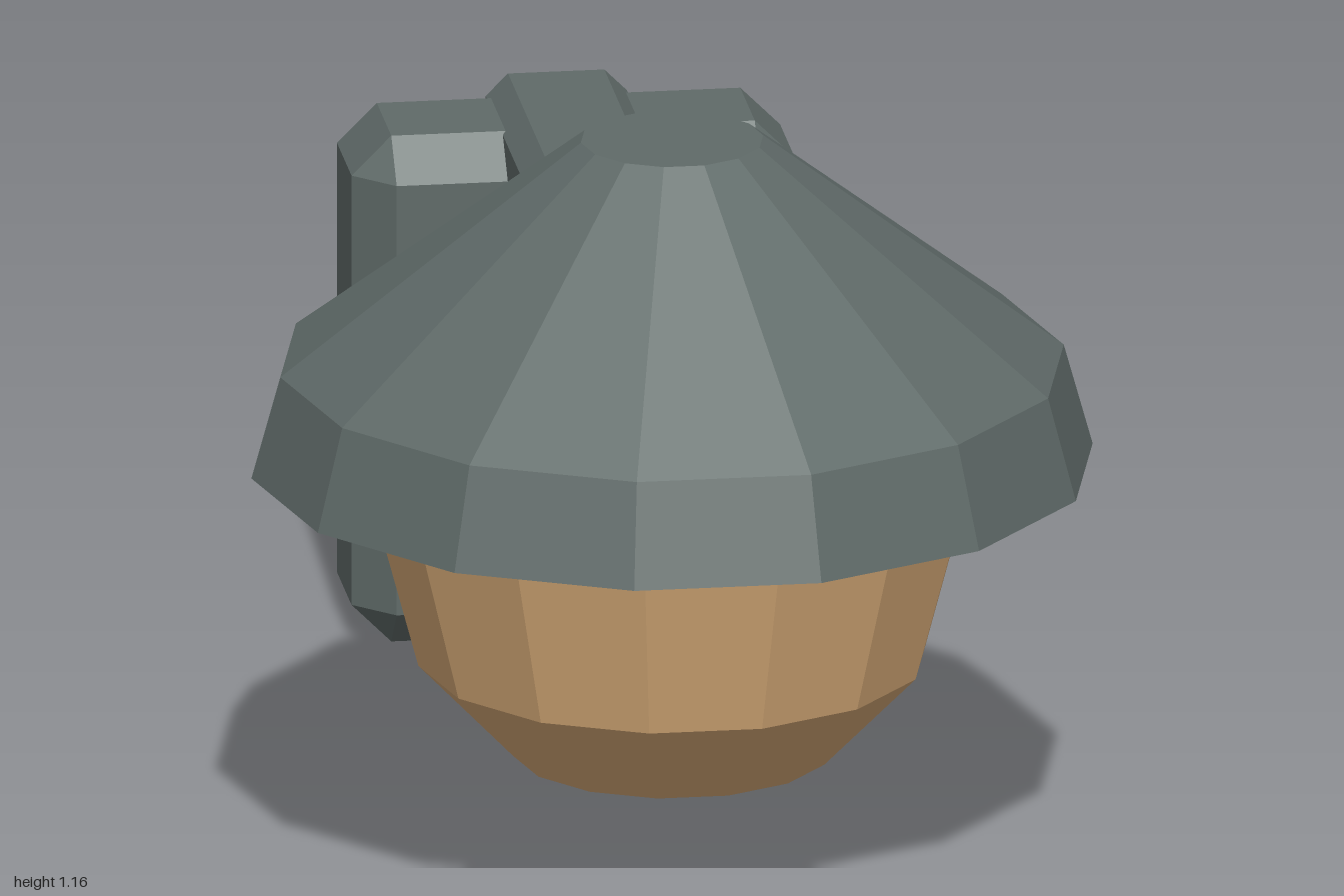
import * as THREE from 'three';
import { ConvexGeometry } from 'three/addons/geometries/ConvexGeometry.js';

const SIDES = 14;
const LAMP_Z = 0.36;

// Faceted turned solid from [radius, y] pairs, bottom to top, with a corner on the x axis
function turned(profile) {
  const points = profile.map(([r, y]) => new THREE.Vector2(r, y));
  const geometry = new THREE.LatheGeometry(points, SIDES, Math.PI / 2).toNonIndexed();
  geometry.computeVertexNormals();
  return geometry;
}

// Box between two corners with every edge chamfered by c
function chamferedBox(min, max, c) {
  const size = max.map((v, i) => (v - min[i]) / 2);
  const points = [];
  for (const sx of [-1, 1]) for (const sy of [-1, 1]) for (const sz of [-1, 1]) {
    for (let face = 0; face < 3; face++) {
      const p = [sx, sy, sz].map((s, i) =>
        (min[i] + max[i]) / 2 + s * (size[i] - (i === face ? 0 : c)));
      points.push(new THREE.Vector3(...p));
    }
  }
  return new ConvexGeometry(points);
}

export function createModel() {
  const metal = new THREE.MeshStandardMaterial({ color: 0x5f6a68 });
  metal.name = 'dark grey metal';
  const glass = new THREE.MeshStandardMaterial({ color: 0xd6aa77 });
  glass.name = 'amber glass';

  const group = new THREE.Group();
  group.name = 'wallLamp';
  const add = (name, geometry, material, z = 0) => {
    const mesh = new THREE.Mesh(geometry, material);
    mesh.name = name;
    mesh.position.z = z;
    group.add(mesh);
  };

  // Wall mount and the arm running from it into the shade
  add('wallPlate', chamferedBox([-0.345, 0, -1], [0.345, 0.82, -0.71], 0.062), metal);
  add('arm', chamferedBox([-0.11, 0.7, -1], [0.11, 0.85, 0], 0.035), metal);

  // Conical shade with a short flared rim
  add('shade', turned([[0, 0.643], [0.655, 0.643], [0.61, 0.805], [0.142, 1.165], [0, 1.165]]),
    metal, LAMP_Z);

  // Tapered glass hanging below the shade
  add('glass', turned([[0, 0.175], [0.247, 0.175], [0.395, 0.328], [0.48, 0.645], [0, 0.645]]),
    glass, LAMP_Z);

  return group;
}
